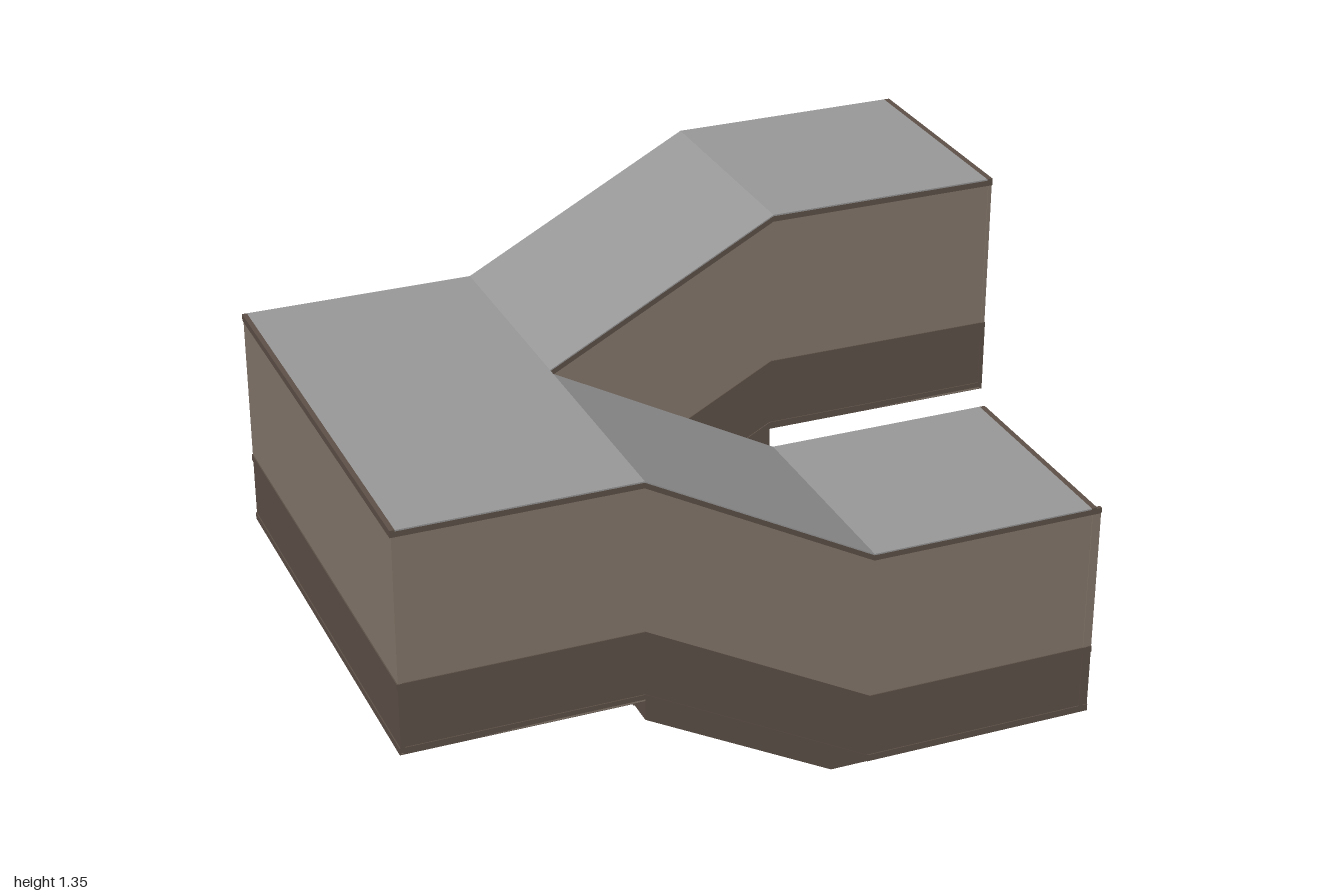
import * as THREE from 'three';

const mat = (name, color) => {
  const m = new THREE.MeshStandardMaterial({ color });
  m.name = name;
  return m;
};

export function createModel() {
  const root = new THREE.Group();
  root.name = 'stairwell';
  const tan = mat('tan wall', 0x85786c);
  const brown = mat('brown trim', 0x5e5148);
  const grey = mat('grey roof', 0x999999);

  const H = 0.65;                 // storey height
  const BAND = 0.21;              // top of the dark lower band
  const MID = 0.35;               // landing floor
  const XL = -0.33, XR = 0.32;    // ends of the flights
  const END = 0.985, OUT = 0.667, IN = 0.012;

  const box = (parent, name, m, x0, x1, y0, y1, z0, z1) => {
    const mesh = new THREE.Mesh(
      new THREE.BoxGeometry(Math.abs(x1 - x0), Math.abs(y1 - y0), Math.abs(z1 - z0)), m);
    mesh.position.set((x0 + x1) / 2, (y0 + y1) / 2, (z0 + z1) / 2);
    mesh.name = name;
    parent.add(mesh);
  };

  // Side-view outline extruded across z
  const slab = (parent, name, m, pts, z0, z1) => {
    const shape = new THREE.Shape(pts.map(p => new THREE.Vector2(p[0], p[1])));
    const g = new THREE.ExtrudeGeometry(shape, { depth: Math.abs(z1 - z0), bevelEnabled: false });
    g.translate(0, 0, Math.min(z0, z1));
    const mesh = new THREE.Mesh(g, m);
    mesh.name = name;
    parent.add(mesh);
  };

  // Strip following a floor path between two heights above it
  const strip = (parent, name, m, path, lo, hi, z0, z1) => slab(parent, name, m, [
    ...path.map(p => [p[0], p[1] + lo]),
    ...path.slice().reverse().map(p => [p[0], p[1] + hi]),
  ], z0, z1);

  // Long wall with band, rails and top trim; faces sit just inside the trim
  const sideWall = (parent, name, path, zOuter, inward) => {
    const g = new THREE.Group();
    g.name = name;
    parent.add(g);
    const a = zOuter + inward * 0.003, b = zOuter + inward * 0.009, c = zOuter + inward * 0.012;
    strip(g, 'upperWall', tan, path, BAND, H - 0.02, a, b);
    strip(g, 'lowerBand', brown, path, 0.02, BAND - 0.02, a, b);
    strip(g, 'bottomRail', brown, path, 0, 0.02, zOuter, c);
    strip(g, 'middleRail', brown, path, BAND - 0.02, BAND, zOuter, c);
    strip(g, 'topRail', brown, path, H - 0.02, H - 0.004, zOuter, c);
  };

  // End wall with a doorway
  const doorWall = (parent, y, s) => {
    const g = new THREE.Group();
    g.name = 'doorWall';
    parent.add(g);
    const cz = 0.34, hole = 0.113, frame = 0.128;
    const x0 = END - 0.012, x1 = END - 0.004;
    const put = (name, m, xa, xb, ya, yb, za, zb) =>
      box(g, name, m, xa, xb, y + ya, y + yb, s * za, s * zb);
    for (const [za, zb] of [[IN, cz - frame], [cz + frame, OUT]]) {
      put('lowerPanel', brown, x0, x1, 0.02, BAND - 0.02, za, zb);
      put('bottomRail', brown, x0, END, 0, 0.02, za, zb);
      put('middleRail', brown, x0, END, BAND - 0.02, BAND, za, zb);
      put('panelEdge', brown, x0, END, 0.02, BAND - 0.02, za, za + 0.014);
      put('panelEdge', brown, x0, END, 0.02, BAND - 0.02, zb - 0.014, zb);
      put('upperWall', tan, x0, END - 0.002, BAND, H - 0.02, za, zb);
    }
    put('wallOverDoor', tan, x0, END - 0.002, 0.495, H - 0.02, cz - frame, cz + frame);
    put('topRail', brown, x0 - 0.004, END, H - 0.02, H, IN, OUT);
    put('doorPost', brown, 0.965, 1, 0, 0.48, cz - frame, cz - hole);
    put('doorPost', brown, 0.965, 1, 0, 0.48, cz + hole, cz + frame);
    put('doorLintel', brown, 0.965, 1, 0.48, 0.495, cz - frame, cz + frame);
  };

  // Folded stair between two stringers; rises from (xa, ya) to (xb, yb)
  const stairs = (parent, xa, ya, xb, yb, s) => {
    const g = new THREE.Group();
    g.name = 'stairs';
    parent.add(g);
    const n = 6, run = (xb - xa) / n, rise = (yb - ya) / n, t = 0.003;
    const za = s * 0.092, zb = s * 0.585;
    for (let i = 0; i < n; i++) {
      const x = xa + run * i, y = ya + rise * i;
      box(g, 'tread', brown, x, x + run, y - t, y, za, zb);
      box(g, 'riser', brown, x + run - t / 2, x + run + t / 2, y - t, y + rise, za, zb);
    }
    const outline = [[xa, ya], [xa + run, ya], [xb, yb - rise], [xb, yb]];
    slab(g, 'stringer', brown, outline, s * IN, za);
    slab(g, 'stringer', brown, outline, zb, s * (OUT - 0.002));
  };

  // Two arms: lower at the front, upper at the back
  for (const [name, s, y] of [['lowerArm', 1, 0], ['upperArm', -1, 0.695]]) {
    const arm = new THREE.Group();
    arm.name = name;
    root.add(arm);
    const tail = x => [[XL, MID], [XR, y], [x, y]];
    sideWall(arm, 'outerWall', [[-0.99, MID], ...tail(s > 0 ? 1 : END)], s * OUT, -s);
    sideWall(arm, 'innerWall', tail(END - 0.012), s * IN, s);
    strip(arm, 'roof', grey, tail(END - 0.016), H - 0.004, H, s * IN, s * OUT);
    box(arm, 'floor', tan, XR, END - 0.004, y + 0.001, y + 0.006, s * IN, s * OUT);
    doorWall(arm, y, s);
    if (s > 0) stairs(arm, XR, y, XL, MID, s);
    else stairs(arm, XL, MID, XR, y, s);
  }

  // Landing joining the arms
  const landing = new THREE.Group();
  landing.name = 'landing';
  root.add(landing);
  box(landing, 'floor', tan, -0.995, XL, MID + 0.001, MID + 0.006, -OUT, OUT);
  box(landing, 'roof', grey, -0.986, XL, MID + H - 0.004, MID + H, -OUT, OUT);
  const ends = [
    ['bottomRail', brown, -1, 0, 0.02],
    ['lowerBand', brown, -0.997, 0.02, BAND - 0.02],
    ['middleRail', brown, -1, BAND - 0.02, BAND],
    ['upperWall', tan, -0.997, BAND, H - 0.02],
    ['topRail', brown, -1, H - 0.02, H],
  ];
  for (const [name, m, x, lo, hi] of ends) {
    box(landing, name, m, x, -0.986, MID + lo, MID + hi, -OUT, OUT);
  }
  // Narrow wall closing the slot between the arms
  box(landing, 'slotBand', brown, XL - 0.01, XL, MID, MID + BAND, -IN, IN);
  box(landing, 'slotWall', tan, XL - 0.01, XL, MID + BAND, MID + H - 0.03, -IN, IN);
  box(landing, 'slotRail', brown, XL - 0.01, XL, MID + H - 0.03, MID + H - 0.004, -IN, IN);

  return root;
}
